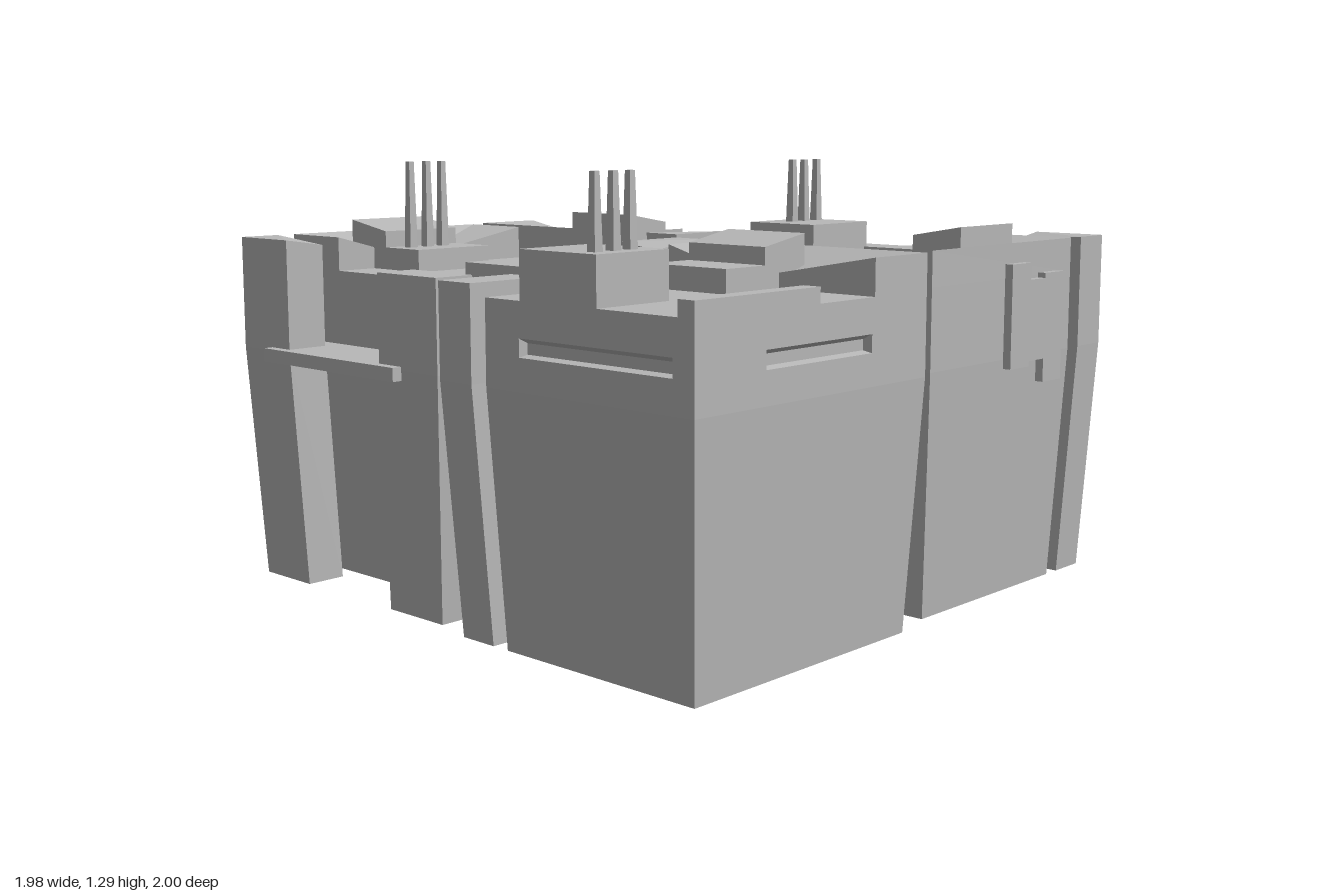
import * as THREE from 'three';

const grey = new THREE.MeshStandardMaterial({ color: 0xb8b8b8, side: THREE.DoubleSide });
grey.name = 'plain grey';

function add(parent, name, geometry) {
  const mesh = new THREE.Mesh(geometry, grey);
  mesh.name = name;
  parent.add(mesh);
  return mesh;
}

// Corner ring of a rectangle [x0, x1, z0, z1], with a height for each corner
const ring = ([x0, x1, z0, z1], a, b = a, c = a, d = a) =>
  [[x0, a, z0], [x1, b, z0], [x1, c, z1], [x0, d, z1]];

// Open shell through rings of points; the last ring is closed if cap is set
function loft(parent, name, rings, cap = true, skip = []) {
  const pts = [];
  const n = rings[0].length;
  for (let r = 0; r + 1 < rings.length; r++) {
    const [lo, hi] = [rings[r], rings[r + 1]];
    for (let i = 0; i < n; i++) {
      if (skip.includes(i)) continue;
      const j = (i + 1) % n;
      pts.push(lo[i], hi[i], hi[j], lo[i], hi[j], lo[j]);
    }
  }
  if (cap) {
    const top = rings[rings.length - 1];
    for (let i = 2; i < n; i++) pts.push(top[1], top[(i + 1) % n], top[i]);
  }
  const g = new THREE.BufferGeometry();
  g.setAttribute('position', new THREE.Float32BufferAttribute(pts.flat(), 3));
  g.computeVertexNormals();
  return add(parent, name, g);
}

const block = (parent, name, y0, y1, rect) =>
  loft(parent, name, [ring(rect, y0), ring(rect, y1)]);

const polygon = (pts) => new THREE.Shape(pts.map(([x, y]) => new THREE.Vector2(x, y)));

const BEND = 0.72;   // below this height the walls lean inward
const DECK = 0.957;
const RIM = 1.06;

// Upright wall along x with a slot and the tapered pocket behind it
function slottedWall(from, to, slot0, slot1, inward) {
  const wall = new THREE.Group();
  wall.name = 'slottedWall';
  const shape = polygon([[from, BEND], [to, BEND], [to, DECK], [from, DECK]]);
  shape.holes.push(polygon([[slot0, 0.81], [slot0, 0.86], [slot1, 0.86], [slot1, 0.81]]));
  add(wall, 'wallFace', new THREE.ShapeGeometry(shape));
  const edge = (y0, y1, z) => [[slot0, y0, z], [slot1, y0, z], [slot1, y1, z], [slot0, y1, z]];
  const rings = [edge(0.81, 0.86, 0), edge(0.815, 0.845, inward * 0.03)];
  // keep the pocket faces turned toward the opening
  loft(wall, 'slotPocket', inward > 0 ? rings : rings.map((r) => [...r].reverse()));
  return wall;
}

// One quarter of the block: body, side posts, rail and roof fittings
function makeModule(name, { slots, plate, tallPad, strip, antennas = [], antennaBase }) {
  const m = new THREE.Group();
  m.name = name;

  // Hollow body, open underneath, tapered below and straight above
  const plan = [0.02, 0.76, 0.01, 0.945];
  loft(m, 'lowerBody', [ring([0.055, 0.735, 0.05, 0.91], 0), ring(plan, BEND)], false);
  loft(m, 'upperBody', [ring(plan, BEND), ring(plan, DECK)], true, slots ? [0, 3] : []);
  if (slots) {
    const end = slottedWall(0.02, 0.76, 0.09, 0.63, 1);
    end.position.z = 0.01;
    const side = slottedWall(0.01, 0.945, 0.27, 0.70, -1);
    side.position.x = 0.02;
    side.rotation.y = -Math.PI / 2;
    m.add(end, side);
  }

  // Raised band whose inner edge dips toward the hatch
  const band = (rim, dip) =>
    [[0.02, rim, 0.71], [0.466, dip, 0.71], [0.76, rim, 0.71], [0.76, rim, 0.945], [0.02, rim, 0.945]];
  loft(m, 'raisedBand', [band(DECK, DECK), band(RIM, 0.98)]);

  // Two hollow side posts leaning toward the body, joined by a rail
  const shortPost = [0.82, 0.95, 0.01, 0.27];
  loft(m, 'shortPost',
    [ring([0.793, 0.917, 0.05, 0.285], 0), ring(shortPost, BEND), ring(shortPost, 0.99)]);
  const tallPost = [0.82, 0.95, 0.71, 0.945];
  loft(m, 'tallPost',
    [ring([0.793, 0.917, 0.69, 0.91], 0), ring(tallPost, BEND), ring(tallPost, 1.04, RIM, RIM, RIM)]);
  add(m, 'rail', new THREE.BoxGeometry(0.22, 0.04, 0.63)).position.set(0.87, 0.71, 0.485);

  // Roof pad, then a flat step with a sloping hatch behind it
  block(m, 'roofPad', DECK, tallPad ? 1.09 : 1.0, [0.345, 0.625, 0.01, 0.27]);
  block(m, 'hatchStep', DECK, 1.025, [0.345, 0.625, 0.49, 0.65]);
  const hatch = [0.345, 0.625, 0.65, 0.82];
  loft(m, 'roofHatch', [ring(hatch, DECK), ring(hatch, 1.075, 1.075, 1.105, 1.105)]);

  if (strip) block(m, 'edgeStrip', DECK, 1.0, [0.02, 0.075, 0.01, 0.48]);

  // Stepped plate standing just off the outer wall
  if (plate) {
    add(m, 'wallPlate', new THREE.ExtrudeGeometry(polygon([
      [0.345, 0.70], [0.445, 0.70], [0.445, 0.715], [0.525, 0.715], [0.525, 0.645], [0.625, 0.645],
      [0.625, 0.97], [0.525, 0.97], [0.525, 0.955], [0.445, 0.955], [0.445, 1.005], [0.345, 1.005],
    ]), { depth: 0.025, bevelEnabled: false })).position.z = 0.975;
  }

  // Thin tapered antennas
  for (const [x, z] of antennas) {
    const square = (r) => [x - r, x + r, z - r, z + r];
    loft(m, 'antenna', [ring(square(0.014), antennaBase), ring(square(0.009), 1.29)]);
  }
  return m;
}

export function createModel() {
  const model = new THREE.Group();
  model.name = 'fourPartBlock';

  const place = (m, x, z, turn) => {
    m.position.set(x, 0, z);
    m.rotation.y = turn;
    model.add(m);
  };

  place(makeModule('frontLeftModule', {
    plate: true, tallPad: true, antennaBase: 1.09,
    antennas: [0.46, 0.52, 0.585].map((x) => [x, 0.09]),
  }), 0, 0, 0);

  place(makeModule('backRightModule', {
    plate: true, antennaBase: 1.025,
    antennas: [0.44, 0.50, 0.565].map((x) => [x, 0.6]),
  }), 0, 0, Math.PI);

  place(makeModule('backLeftModule', { slots: true }), 1, -1, -Math.PI / 2);

  place(makeModule('frontRightModule', {
    slots: true, tallPad: true, strip: true, antennaBase: 1.09,
    antennas: [0.07, 0.135, 0.195].map((z) => [0.41, z]),
  }), -1, 1, Math.PI / 2);

  return model;
}
